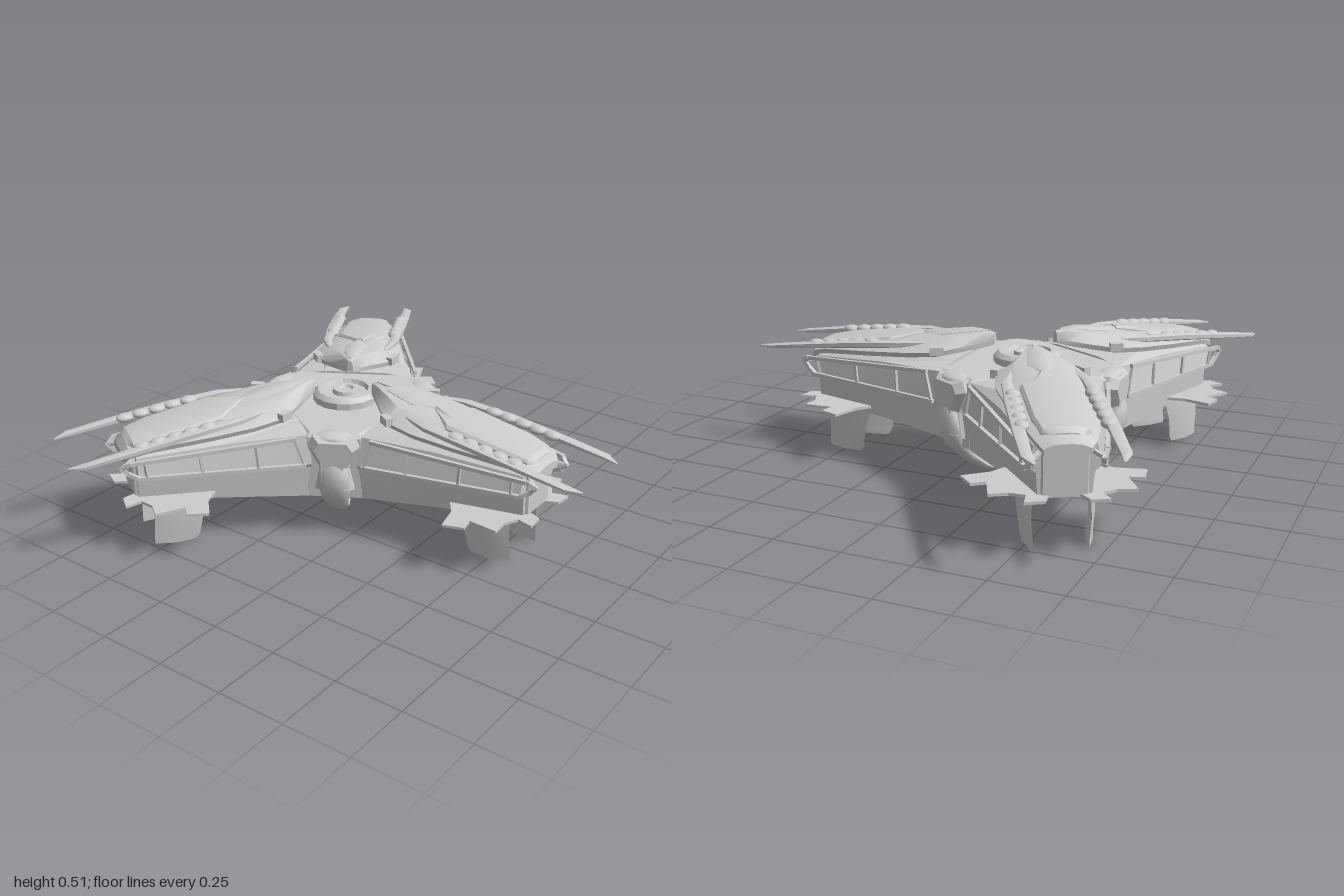
import * as THREE from 'three';
import { toCreasedNormals } from 'three/addons/utils/BufferGeometryUtils.js';

const grey = new THREE.MeshStandardMaterial({ color: 0xcccccc });
grey.name = 'hull grey';

function add(parent, name, geometry) {
  const mesh = new THREE.Mesh(geometry, grey);
  mesh.name = name;
  parent.add(mesh);
  return mesh;
}

// Skin a list of rings (each a list of [x, y, z]) and cap both ends
function loft(rings, crease = 0.6) {
  const n = rings[0].length, index = [];
  for (let i = 0; i < rings.length - 1; i++) {
    for (let j = 0; j < n; j++) {
      const a = i * n + j, b = i * n + (j + 1) % n;
      index.push(a, b, a + n, b, b + n, a + n);
    }
  }
  const last = (rings.length - 1) * n;
  for (let j = 1; j < n - 1; j++) {
    index.push(0, j + 1, j, last, last + j, last + j + 1);
  }
  const geo = new THREE.BufferGeometry();
  geo.setAttribute('position', new THREE.Float32BufferAttribute(rings.flat(2), 3));
  geo.setIndex(index);
  return toCreasedNormals(geo, crease);
}

// Mirrored cross-section at x from a half profile of [z, y], top to bottom
const section = (x, half) => [
  ...half.map(([z, y]) => [x, y, z]),
  ...[...half].reverse().map(([z, y]) => [x, y, -z]),
];

// Elliptical tube along [x, y, z, halfWidth, halfThickness] stations
function taperedTube(stations, sides = 10) {
  return loft(stations.map(([x, y, z, w, t], i) => {
    const p = stations[Math.max(i - 1, 0)], q = stations[Math.min(i + 1, stations.length - 1)];
    const len = Math.hypot(q[0] - p[0], q[1] - p[1]);
    const nx = -(q[1] - p[1]) / len, ny = (q[0] - p[0]) / len;
    return Array.from({ length: sides }, (_, k) => {
      const a = k / sides * Math.PI * 2, c = Math.cos(a) * t;
      return [x + nx * c, y + ny * c, z + Math.sin(a) * w];
    });
  }), 0.9);
}

function plate(points, depth) {
  const shape = new THREE.Shape(points.map(p => new THREE.Vector2(...p)));
  return new THREE.ExtrudeGeometry(shape, { depth, bevelEnabled: false });
}

function bar(parent, name, from, to, size) {
  const a = new THREE.Vector3(...from), b = new THREE.Vector3(...to);
  const mesh = add(parent, name, new THREE.BoxGeometry(size, size, a.distanceTo(b) + size));
  mesh.position.copy(a).lerp(b, 0.5);
  mesh.lookAt(b);
}

// One arm, pointing along +x from the hub centre
function createArm() {
  const arm = new THREE.Group();
  arm.name = 'arm';
  add(arm, 'armHull', loft([
    section(0.24, [[0.12, 0.41], [0.235, 0.395], [0.252, 0.285], [0.245, 0.27], [0.24, 0.15]]),
    section(0.52, [[0.1, 0.425], [0.165, 0.385], [0.19, 0.288], [0.172, 0.272], [0.165, 0.168]]),
    section(0.84, [[0.05, 0.39], [0.1, 0.36], [0.115, 0.29], [0.09, 0.272], [0.085, 0.19]]),
  ], 0.2));

  // Armoured canopy: x, half width, ridge height, edge height
  const canopy = [
    [0.13, 0.012, 0.5, 0.475], [0.16, 0.035, 0.505, 0.465], [0.23, 0.095, 0.5, 0.452],
    [0.3, 0.155, 0.488, 0.44], [0.42, 0.17, 0.472, 0.43], [0.58, 0.152, 0.45, 0.415],
    [0.8, 0.115, 0.42, 0.395], [0.86, 0.095, 0.4, 0.378], [0.88, 0.075, 0.375, 0.36],
  ];
  add(arm, 'canopy', loft(canopy.map(([x, w, r, e]) => section(x, [
    [0.2 * w, r], [0.58 * w, r - 0.15 * (r - e)], [w, e], [0.96 * w, e - 0.018],
  ])), 0.5));
  add(arm, 'canopyPanel', loft([
    [0.42, 0.02, 0.484], [0.52, 0.1, 0.472], [0.76, 0.094, 0.438], [0.84, 0.078, 0.42], [0.86, 0.055, 0.404],
  ].map(([x, w, y]) => section(x, [[0.5 * w, y], [0.9 * w, y - 0.008], [w, y - 0.018], [w, y - 0.045]])), 0.4));
  add(arm, 'canopyNose', loft([
    [0.15, 0.006, 0.508], [0.23, 0.035, 0.509], [0.34, 0.05, 0.492], [0.42, 0.015, 0.48],
  ].map(([x, w, y]) => section(x, [[0.4 * w, y], [w, y - 0.01], [w, y - 0.03]]))));
  add(arm, 'endCap', loft([
    section(0.82, [[0.05, 0.38], [0.085, 0.35], [0.085, 0.2]]),
    section(0.85, [[0.045, 0.37], [0.07, 0.34], [0.07, 0.2]]),
  ], 0.2));

  for (const s of [1, -1]) {
    // Long blade rail with a row of beads
    add(arm, 'rail', taperedTube([
      [0.36, 0.458, s * 0.11, 0.008, 0.008], [0.46, 0.452, s * 0.135, 0.02, 0.014],
      [0.65, 0.436, s * 0.143, 0.024, 0.016], [0.86, 0.411, s * 0.146, 0.023, 0.013],
      [1.03, 0.39, s * 0.146, 0.02, 0.009], [1.08, 0.384, s * 0.13, 0.004, 0.003],
    ], 6));
    for (let i = 0; i < 5; i++) {
      const bead = add(arm, 'railBead', new THREE.SphereGeometry(0.028, 12, 8));
      bead.position.set(0.58 + i * 0.06, 0.447 - i * 0.007, s * (0.13 + i * 0.001));
      bead.scale.set(1.2, 0.6, 0.9);
    }
    // Clip on the canopy shoulder
    const clip = add(arm, 'clip', new THREE.BoxGeometry(0.05, 0.03, 0.028));
    clip.position.set(0.3, 0.445, s * 0.15);
    clip.rotation.y = -s * 0.5;

    // Side window frame, overhanging the end of the arm
    const top = t => [0.3 + 0.57 * t, 0.392 - 0.037 * t, s * (0.242 - 0.117 * t)];
    const low = t => [0.27 + 0.57 * t, 0.286 + 0.006 * t, s * (0.255 - 0.13 * t)];
    bar(arm, 'windowTopBar', top(0), top(1), 0.014);
    bar(arm, 'windowLowerBar', low(0), low(1), 0.014);
    for (const t of [0, 0.28, 0.62, 0.95]) bar(arm, 'windowPost', low(t), top(Math.max(t - 0.04, 0)), 0.01);
    const corner = [0.895, 0.335, s * 0.11];
    bar(arm, 'windowEndBar', top(1), corner, 0.014);
    bar(arm, 'windowEndBar', corner, [0.875, 0.312, s * 0.11], 0.014);
    bar(arm, 'windowEndBar', [0.875, 0.312, s * 0.11], low(1), 0.014);
    bar(arm, 'windowEndBar', corner, [0.84, 0.35, s * 0.07], 0.012);

    // Jagged skirt fin
    const fin = add(arm, 'skirtFin', plate([
      [0.56, 0.13], [0.62, 0.205], [0.645, 0.305], [0.72, 0.28], [0.71, 0.228], [0.82, 0.236],
      [0.815, 0.17], [0.84, 0.12], [0.9, 0.135], [0.895, 0.07], [0.82, 0.04], [0.56, 0.04],
    ].map(([x, z]) => [x, s * z]), 0.01));
    fin.geometry.rotateX(Math.PI / 2);
    fin.position.y = 0.202;

    // Foot blade, toed inward and flaring to a wide root
    const foot = add(arm, 'foot', loft([
      [0, -0.06, 0.09, 0], [0.02, -0.075, 0.09, 0], [0.1, -0.092, 0.085, 0.006], [0.2, -0.125, 0.08, 0],
    ].map(([y, x0, x1, bulge]) => {
      const z = s * bulge, mid = (x0 + x1) / 2, h = s * 0.014;
      const ring = [[x0, y, z], [mid, y, z + h], [x1, y, z], [mid, y, z - h * 0.6]];
      return s > 0 ? ring : ring.reverse();
    }), 0.5));
    foot.position.set(0.71, 0, s * 0.103);
    foot.rotation.y = s * 0.15;
  }
  return arm;
}

// Pod and straight-tapering claw that sit between two arms
function createClaw() {
  const group = new THREE.Group();
  group.name = 'clawPod';
  add(group, 'podCollar', loft([
    section(0.27, [[0.09, 0.405], [0.1, 0.37], [0.085, 0.26], [0.09, 0.16]]),
    section(0.345, [[0.075, 0.4], [0.092, 0.36], [0.05, 0.28], [0.07, 0.19]]),
    section(0.372, [[0.05, 0.385], [0.07, 0.355], [0.035, 0.29], [0.04, 0.2]]),
  ], 0.3));
  const dome = add(group, 'podDome', new THREE.SphereGeometry(1, 16, 10));
  dome.position.set(0.318, 0.39, 0);
  dome.scale.set(0.045, 0.02, 0.08);
  add(group, 'claw', taperedTube([
    [0.35, 0.31, 0, 0.025, 0.016], [0.355, 0.275, 0, 0.05, 0.028], [0.35, 0.215, 0, 0.062, 0.034],
    [0.325, 0.16, 0, 0.054, 0.034], [0.27, 0.1, 0, 0.042, 0.026], [0.205, 0.05, 0, 0.036, 0.018],
    [0.17, 0.032, 0, 0.032, 0.012], [0.11, 0.026, 0, 0.026, 0.008], [0.05, 0.028, 0, 0.008, 0.005],
  ], 12));
  return group;
}

export function createModel() {
  const model = new THREE.Group();
  model.name = 'threeArmedStation';
  const body = new THREE.Group();
  body.name = 'station';
  body.position.x = -0.22;
  model.add(body);

  // Hub: six-cornered core and tapered keel
  const turn = Math.PI * 2 / 3, outline = [];
  for (let k = 0; k < 3; k++) {
    for (const z of [-0.24, 0.24]) {
      const c = Math.cos(k * turn), n = Math.sin(k * turn);
      outline.push([0.25 * c - z * n, 0.25 * n + z * c]);
    }
  }
  const level = (scale, y) => outline.map(([x, z]) => [x * scale, y, z * scale]).reverse();
  add(body, 'hubCore', loft([
    level(0.65, 0.112), level(0.82, 0.122), level(1, 0.152), level(1, 0.39), level(0.94, 0.405),
  ], 0.35));

  // Stepped turret ring on the hub
  const profile = [[0.125, 0.4], [0.125, 0.43], [0.108, 0.446], [0.088, 0.446], [0.08, 0.43], [0.052, 0.43],
    [0.048, 0.446], [0.03, 0.446], [0.024, 0.436], [0, 0.436]].map(p => new THREE.Vector2(...p));
  add(body, 'hubRing', toCreasedNormals(new THREE.LatheGeometry(profile, 16), 0.3));

  for (let k = 0; k < 3; k++) {
    const arm = createArm();
    arm.rotation.y = k * turn;
    const claw = createClaw();
    claw.rotation.y = (k + 0.5) * turn;
    body.add(arm, claw);
  }
  return model;
}
